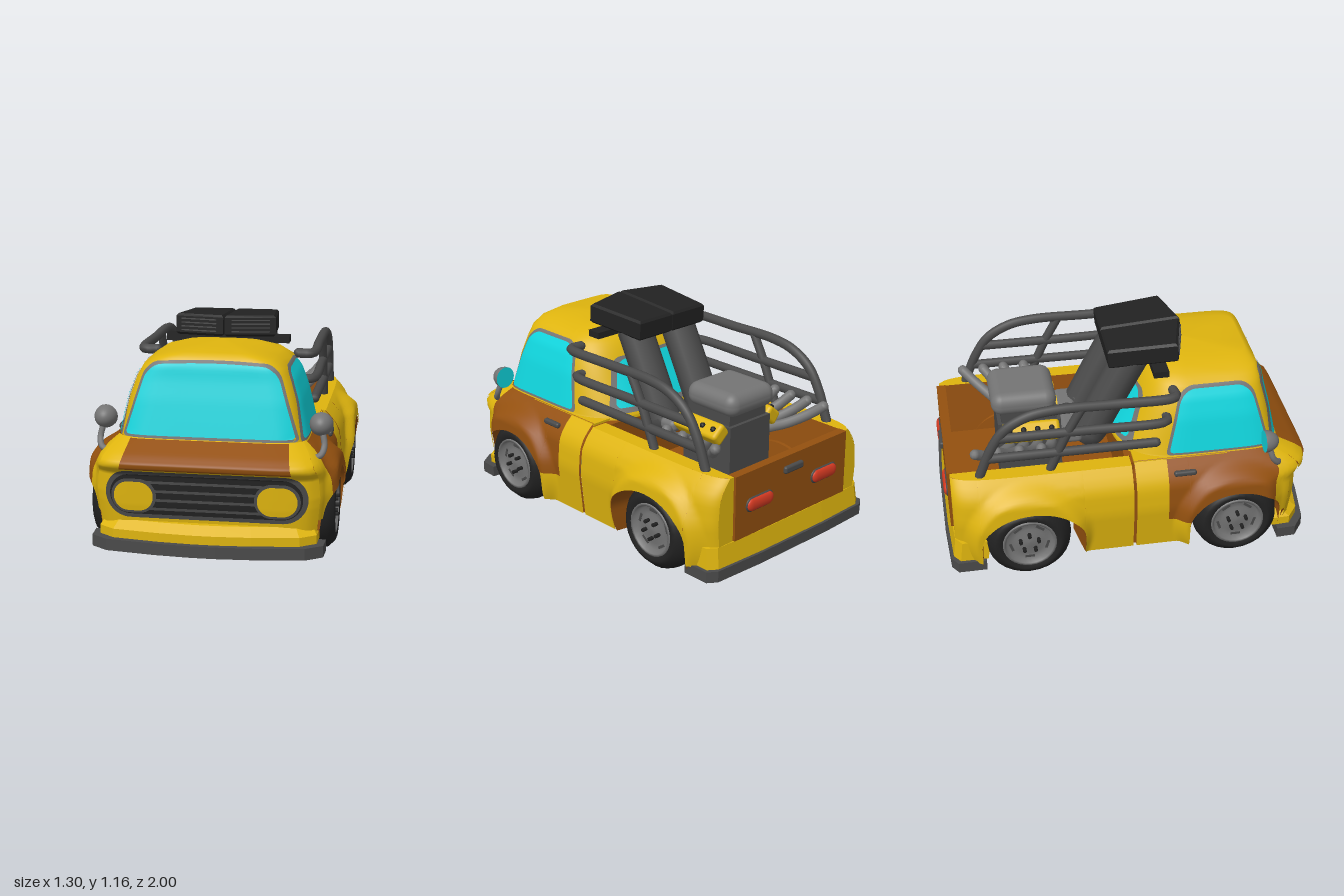
import * as THREE from 'three';
import { RoundedBoxGeometry } from 'three/addons/geometries/RoundedBoxGeometry.js';

const { lerp, smoothstep, clamp } = THREE.MathUtils;
const ZC = 0.35, SIDES = [1, -1];
// wheel centre, arch centre, arch half length
const WHEELS = [[0.55, 0.545, 0.255], [-0.57, -0.545, 0.275]];

// piecewise-linear table lookup: rows are [y, value, value...]
function look(rows, y, k = 1) {
  let i = 0;
  while (i < rows.length - 2 && y > rows[i + 1][0]) i++;
  const a = rows[i], b = rows[i + 1];
  return lerp(a[k], b[k], clamp((y - a[0]) / (b[0] - a[0]), 0, 1));
}
const arc = (t, n) => Math.pow(Math.max(0, 1 - Math.pow(Math.abs(t), n)), 1 / n);

// lower body: half width and nose position by height
const WIDTH = [[0.1, 0.575], [0.35, 0.6], [0.48, 0.588], [0.53, 0.563], [0.57, 0.53], [0.61, 0.487]];
const NOSE = [[0.12, 0.88], [0.3, 0.9], [0.45, 0.905], [0.49, 0.95], [0.515, 0.955], [0.55, 0.91], [0.61, 0.8]];
function bodyX(y, z) {
  const t = z > ZC ? arc((z - ZC) / (look(NOSE, y) - ZC), 8) : arc((ZC - z) / (ZC + 0.98), 12);
  let flare = 0;
  for (const [c] of WHEELS) flare += 0.05 * (1 - smoothstep(Math.hypot(z - c, y - 0.23), 0.27, 0.35));
  return look(WIDTH, y) * t + flare * (1 - smoothstep(z, 0.7, 0.81));
}
const noseZ = (x, y) => ZC + (look(NOSE, y) - ZC) * arc(x / look(WIDTH, y), 8);
const noseSeam = y => look(NOSE, y) - 0.06;

// cabin rings: y, half width, front z, back z
const CAB = [[0.585, 0.49, 0.8, -0.07], [0.605, 0.478, 0.8, -0.07], [0.8, 0.435, 0.76, 0.03], [0.9, 0.4, 0.735, 0.08],
  [0.96, 0.365, 0.725, 0.12], [1.0, 0.305, 0.71, 0.17], [1.03, 0.2, 0.67, 0.25], [1.045, 0.001, 0.351, 0.349]];
const cabZ = (x, y, back) => ZC + (look(CAB, y, back ? 3 : 2) - ZC) * arc(x / look(CAB, y), back ? 3 : 8);
const cabX = (z, y) => look(CAB, y) * (z > ZC
  ? arc((z - ZC) / (look(CAB, y, 2) - ZC), 8) : arc((ZC - z) / (ZC - look(CAB, y, 3)), 3));

// surface from fn(u, v) -> [x, y, z]
function grid(fn, nu, nv, flip) {
  const pos = [], idx = [];
  for (let j = 0; j <= nv; j++) for (let i = 0; i <= nu; i++) pos.push(...fn(i / nu, j / nv));
  for (let j = 0; j < nv; j++) for (let i = 0; i < nu; i++) {
    const a = j * (nu + 1) + i, b = a + 1, c = b + nu + 1, d = c - 1;
    idx.push(...(flip ? [a, c, b, a, d, c] : [a, b, c, a, c, d]));
  }
  const g = new THREE.BufferGeometry().setIndex(idx);
  g.setAttribute('position', new THREE.Float32BufferAttribute(pos, 3));
  g.computeVertexNormals();
  return g;
}
const ease = u => (1 - Math.cos(Math.PI * u)) / 2;
const span = (c, h) => () => [c - h, c + h];

// patch laid on a surface, with bottom and top corner radii; ext(y) gives its span
const patch = (map, y0, y1, ext, rb, rt, flip) => grid((u, v) => {
  const y = lerp(y0, y1, ease(v)), t = Math.min(y - y0, y1 - y), r = v < 0.5 ? rb : rt, [a, b] = ext(y);
  const inset = t < r ? r - Math.sqrt(Math.max(0, r * r - (r - t) ** 2)) : 0;
  return map(lerp(a + inset, b - inset, u), y);
}, 20, 20, flip);

export function createModel() {
  const model = new THREE.Group();
  const mat = (name, color, side = THREE.FrontSide) => Object.assign(new THREE.MeshStandardMaterial({ color, side }), { name });
  const yellow = mat('yellow paint', 0xdeb40e), brown = mat('brown paint', 0x93500f, THREE.DoubleSide);
  const glass = mat('cyan glass', 0x10d6de), dark = mat('dark grey metal', 0x4a4a4a), grey = mat('grey metal', 0x747474);
  const black = mat('black rubber', 0x222222), red = mat('red lens', 0xd63a22);
  const add = (name, geo, m, x = 0, y = 0, z = 0, parent = model) => {
    const mesh = Object.assign(new THREE.Mesh(geo, m), { name });
    mesh.position.set(x, y, z);
    parent.add(mesh);
    return mesh;
  };
  const box = (name, m, w, h, d, x, y, z, r = 0) =>
    add(name, r ? new RoundedBoxGeometry(w, h, d, 4, r) : new THREE.BoxGeometry(w, h, d), m, x, y, z);
  const rod = (name, m, r, len, x, y, z) => add(name, new THREE.CylinderGeometry(r, r, len, 16), m, x, y, z);
  const tube = (name, m, pts, r) => {
    const curve = new THREE.CatmullRomCurve3(pts.map(p => new THREE.Vector3(...p)));
    add(name, new THREE.TubeGeometry(curve, pts.length * 6, r, 10), m);
    for (const p of [pts[0], pts.at(-1)]) add(name + 'End', new THREE.SphereGeometry(r, 10, 6), m, ...p);
  };

  // side panels with wheel arches, each with a brown inner skin
  const panel = (name, m, s, z0, z1, lo, hi) => {
    for (const off of [0, 0.012]) add(off ? name + 'Liner' : name, grid((u, v) => {
      const z = lerp(z0, z1, ease(u)), y = lerp(lo(z), hi, v);
      const zz = z > 0.7 ? 0.7 + (z - 0.7) / 0.14 * (noseSeam(y) - 0.7) : z;
      return [s * (bodyX(y, zz) - off), y, zz];
    }, 24, 14, off ? s < 0 : s > 0), off ? brown : m);
  };
  const flat = y => () => y;
  const arch = ([, c, a], base) => z => Math.max(base, 0.23 + 0.2 * Math.sqrt(Math.max(0, 1 - ((z - c) / a) ** 2)));
  for (const s of SIDES) {
    panel('cabRearPanel', yellow, s, 0.008, 0.18, flat(0.1), 0.6);
    panel('sill', yellow, s, 0.18, 0.29, flat(0.1), 0.27);
    panel('door', brown, s, 0.18, 0.29, flat(0.27), 0.6);
    panel('frontFender', brown, s, 0.29, 0.755, arch(WHEELS[0], 0.23), 0.6);
    panel('frontCorner', yellow, s, 0.755, 0.84, arch(WHEELS[0], 0.19), 0.61);
    panel('bedSide', yellow, s, -0.27, -0.008, flat(0.1), 0.59);
    panel('rearFender', yellow, s, -0.82, -0.27, arch(WHEELS[1], 0.23), 0.59);
    panel('rearCorner', yellow, s, -0.955, -0.82, flat(0.12), 0.59);
    box('bodySeam', brown, 0.06, 0.42, 0.06, s * 0.522, 0.31, 0);
    // wheel wells, narrowing inward
    for (const [, c, len] of WHEELS) add('wheelWell', grid((u, v) => {
      const a = Math.PI * clamp((u - 0.1) / 0.8, 0, 1), k = lerp(1, 0.87, v);
      const z = c + len * k * Math.cos(a), y = 0.23 + 0.2 * k * Math.sin(a) - Math.max(0, 0.1 - u, u - 0.9) * 1.3;
      return [s * lerp(bodyX(y, z) - 0.005, 0.37, v), y, z];
    }, 40, 2), brown);
    // bed rim and sloping inner wall
    add('bedRim', grid((u, v) => {
      const z = lerp(-0.955, -0.008, u);
      return [s * lerp(0.42, bodyX(0.59, z), v), 0.59, z];
    }, 30, 1, s < 0), yellow);
    add('bedWall', grid((u, v) => [s * lerp(0.37, 0.42, v), lerp(0.3, 0.59, v), lerp(-0.955, 0, u)], 1, 1, s < 0), brown);
  }
  box('floor', brown, 0.76, 0.02, 1.8, 0, 0.29, -0.05);
  box('bedFrontWall', brown, 0.94, 0.3, 0.04, 0, 0.43, -0.01);
  box('cabShelf', yellow, 0.985, 0.012, 0.5, 0, 0.592, 0.258);

  // nose, hood and tail
  for (const [name, m, off] of [['nose', yellow, 0], ['noseLiner', brown, 0.015]]) add(name, grid((u, v) => {
    const y = lerp(0.12, 0.61, v), x = (2 * u - 1) * bodyX(y, noseSeam(y));
    return [x, y, noseZ(x, y) - off];
  }, 40, 49), m);
  const onNose = off => (x, y) => [x, y, noseZ(x, y) + off];
  add('hood', patch(onNose(0.008), 0.482, 0.608, y => span(0, lerp(0.43, 0.4, (y - 0.48) / 0.13))(), 0.001, 0.001), brown);
  for (const [name, m, z] of [['tailPanel', yellow, -0.955], ['tailLiner', brown, -0.945]]) add(name, grid((u, v) => {
    const y = lerp(0.12, 0.59, v);
    return [(2 * u - 1) * bodyX(y, -0.955), y, z];
  }, 2, 12, true), m);
  box('tailgate', brown, 0.84, 0.35, 0.05, 0, 0.418, -0.944);
  box('tailgateHandle', dark, 0.14, 0.04, 0.03, 0, 0.52, -0.972, 0.012);

  // grille, headlights and tail lights
  add('grilleFrame', patch(onNose(0.01), 0.225, 0.475, span(0, 0.51), 0.125, 0.125), dark);
  add('grille', patch(onNose(0.016), 0.247, 0.453, span(0, 0.485), 0.103, 0.103), black);
  for (const y of [0.272, 0.318, 0.364, 0.41]) add('grilleBar', patch(onNose(0.024), y, y + 0.014, span(0, 0.36), 0.002, 0.002), dark);
  for (const s of SIDES) {
    add('headlightRing', patch(onNose(0.028), 0.256, 0.434, span(s * 0.36, 0.115), 0.088, 0.088), dark);
    add('headlight', patch(onNose(0.035), 0.27, 0.42, span(s * 0.36, 0.1), 0.074, 0.074), yellow);
    for (const [name, m, r, z] of [['tailLightFrame', dark, 0.042, -0.965], ['tailLight', red, 0.034, -0.975]]) {
      const lens = add(name, new THREE.CapsuleGeometry(r, 0.12, 6, 16), m, s * 0.245, 0.41, z);
      lens.rotation.z = Math.PI / 2;
      lens.scale.z = 0.45;
    }
  }

  // cabin shell
  const sp = (c, n) => Math.sign(c) * Math.pow(Math.abs(c), 2 / n);
  add('cabin', grid((u, v) => {
    const k = v * (CAB.length - 1), i = Math.min(CAB.length - 2, Math.floor(k)), s = Math.sin(2 * Math.PI * u), n = s > 0 ? 8 : 3;
    const [y, hw, zf, zb] = CAB[i].map((p, c) => lerp(p, CAB[i + 1][c], k - i));
    return [hw * sp(Math.cos(2 * Math.PI * u), n), y, ZC + (s > 0 ? zf - ZC : ZC - zb) * sp(s, n)];
  }, 96, 14, true), yellow);

  // windows: grey frame below, glass above
  for (const [part, m, e, off] of [['Frame', grey, 0.014, 0.005], ['Glass', glass, 0, 0.01]]) {
    const taper = (y0, y1, a, b, w) => y => span(0, lerp(a, b, (y - y0) / (y1 - y0)) + w)();
    add('windshield' + part, patch((x, y) => {
      const yy = y + 0.07 * (y - 0.63) * (1 - (x / 0.4) ** 2);
      return [x, yy, cabZ(x, yy) + off];
    }, 0.625 - e, 0.962 + e, taper(0.625, 0.962, 0.432, 0.325, e), 0.02, 0.07), m);
    add('rearWindow' + part, patch((x, y) => [x, y, cabZ(x, y, true) - off], 0.645 - 2 * e, 0.88 + e,
      taper(0.64, 0.88, 0.34, 0.25, 2 * e), 0.03, 0.05, true), m);
    for (const s of SIDES) add('sideWindow' + part, patch((z, y) => [s * (cabX(z, y) + off), y, z], 0.62 - e, 0.95 + e, y => {
      const t = (y - 0.622) / 0.33;
      return [lerp(0.2, 0.28, t) - e, lerp(0.73, 0.64, t) + e];
    }, 0.02, 0.07, s > 0), m);
  }

  // bumpers: dark slab with a tapered painted lip
  const front = [[0.59, 0.79], [0.585, 0.89], [0.5, 0.95], [0.25, 0.985], [0.06, 0.998]];
  const rear = [[0.6, -0.8], [0.6, -0.95], [0.55, -0.985], [0.25, -0.998]];
  for (const [name, m, pts, k, y0, y1, top] of [['frontBumper', dark, front, 1, 0.06, 0.12, 1], ['frontLip', yellow, front, 0.94, 0.12, 0.165, 1],
    ['frontLipTop', yellow, front, 0.94, 0.165, 0.205, 0.95], ['rearBumper', dark, rear, 1, 0.07, 0.13, 1], ['rearLip', yellow, rear, 0.97, 0.13, 0.24, 0.985]]) {
    const shape = new THREE.Shape([...pts, ...pts.map(([x, z]) => [-x, z]).reverse()].map(([x, z]) => new THREE.Vector2(x * k, -z * (k + 1) / 2)));
    const g = new THREE.ExtrudeGeometry(shape, { depth: y1 - y0, bevelEnabled: false }).rotateX(-Math.PI / 2), p = g.attributes.position;
    for (let i = 0; i < p.count; i++) if (p.getY(i) > 0.01) p.setXYZ(i, p.getX(i) * top, p.getY(i), p.getZ(i) * top);
    g.computeVertexNormals();
    add(name, g, m, 0, y0, 0);
  }

  // wheels, axles and chassis
  const lathe = pts => new THREE.LatheGeometry(pts.map(p => new THREE.Vector2(...p)), 28);
  const tire = lathe([[0, -0.08], [0.13, -0.1], [0.185, -0.12], [0.215, -0.105], [0.23, -0.06], [0.23, 0.03],
    [0.218, 0.075], [0.185, 0.11], [0.165, 0.118], [0.142, 0.108]]);
  const rim = lathe([[0.145, 0.1], [0.143, 0.114], [0.13, 0.114], [0.12, 0.085], [0.08, 0.09], [0.05, 0.092], [0.03, 0.098], [0, 0.1]]);
  for (const [z] of WHEELS) {
    for (const s of SIDES) {
      const wheel = Object.assign(new THREE.Group(), { name: 'wheel' });
      add('tire', tire, black, 0, 0, 0, wheel);
      add('rim', rim, grey, 0, 0, 0, wheel);
      for (let i = 0; i < 5; i++) {
        const a = i * Math.PI * 0.4, b = a + Math.PI / 5;
        add('lugNut', new THREE.CylinderGeometry(0.01, 0.01, 0.035, 6), black, 0.05 * Math.cos(a), 0.105, 0.05 * Math.sin(a), wheel);
        add('rimSlot', new THREE.BoxGeometry(0.014, 0.012, 0.05), dark, 0.1 * Math.cos(b), 0.084, 0.1 * Math.sin(b), wheel).rotation.y = -b;
      }
      wheel.rotation.z = -s * Math.PI / 2;
      wheel.position.set(s * 0.51, 0.23, z);
      model.add(wheel);
    }
    rod('axle', dark, 0.03, 0.86, 0, 0.22, z).rotation.z = Math.PI / 2;
  }
  add('differential', new THREE.SphereGeometry(0.09, 16, 10), dark, 0, 0.21, -0.57);
  rod('driveShaft', dark, 0.035, 1.05, 0, 0.2, -0.02).rotation.x = Math.PI / 2;
  box('skidPlate', dark, 0.44, 0.03, 0.42, 0, 0.1, 0.5);

  // mirrors, handles, bed rails, roof intakes and engine sides
  for (const s of SIDES) {
    box('frameRail', dark, 0.07, 0.08, 1.5, s * 0.22, 0.12, -0.02);
    const shell = add('mirrorShell', new THREE.SphereGeometry(0.06, 20, 10, 0, Math.PI * 2, 0, Math.PI / 2), grey, s * 0.55, 0.69, 0.69);
    shell.rotation.x = Math.PI / 2;
    shell.scale.y = 1.3;
    add('mirrorGlass', new THREE.CircleGeometry(0.06, 20), glass, s * 0.55, 0.69, 0.69).rotation.y = Math.PI;
    tube('mirrorArm', grey, [[s * 0.56, 0.65, 0.72], [s * 0.57, 0.59, 0.74], [s * 0.555, 0.55, 0.77], [s * 0.51, 0.535, 0.79]], 0.016);
    box('doorHandle', dark, 0.03, 0.03, 0.12, s * 0.56, 0.545, 0.27, 0.012);
    const x = s * 0.46, i = s * 0.38;
    tube('topRail', dark, [[i, 0.955, 0.23], [s * 0.44, 0.955, 0.235], [x, 0.955, 0.2], [x, 0.955, -0.1], [x, 0.955, -0.4],
      [x, 0.93, -0.54], [x, 0.86, -0.66], [x, 0.75, -0.735], [x, 0.59, -0.8]], 0.026);
    tube('middleRail', dark, [[i, 0.81, 0.19], [s * 0.44, 0.81, 0.195], [x, 0.81, 0.16], [x, 0.81, -0.25], [x, 0.81, -0.69]], 0.025);
    tube('lowerRail', dark, [[x, 0.69, 0.13], [x, 0.69, -0.76]], 0.025);
    tube('railBrace', dark, [[x, 0.95, -0.26], [x, 0.8, -0.34], [x, 0.59, -0.43]], 0.024);

    const plan = [[0.014, -0.2], [0.225, -0.2], [0.253, 0.145], [0.014, 0.205]].map(([px, pz]) => new THREE.Vector2(s * px, pz));
    const body = new THREE.ExtrudeGeometry(new THREE.Shape(plan), { depth: 0.086, bevelSize: 0.012, bevelThickness: 0.012, bevelSegments: 1 });
    const scoop = add('intakeScoop', body.rotateX(Math.PI / 2).translate(0, 0.043, 0), black, 0, 1.092, 0.125);
    for (let k = 0; k < 4; k++)
      add('scoopLouvre', new THREE.BoxGeometry(0.2, 0.006, 0.008), dark, s * 0.137, -0.03 + k * 0.02, 0.188, scoop).rotation.y = s * 0.25;
    scoop.rotation.x = -0.07;
    tube('intakePipe', dark, [[s * 0.15, 1.04, 0.05], [s * 0.15, 0.82, -0.065], [s * 0.15, 0.6, -0.175]], 0.095);

    box('valveCover', yellow, 0.1, 0.08, 0.31, s * 0.195, 0.65, -0.5, 0.02).rotation.z = -s * 0.7;
    rod('blowerIntake', yellow, 0.05, 0.03, s * 0.07, 0.725, -0.357).rotation.x = Math.PI / 2;
    for (let k = 0; k < 4; k++) {
      const z = -0.39 - k * 0.075, end = -0.47 - k * 0.115;
      add('coverBolt', new THREE.SphereGeometry(0.016, 10, 6), black, s * 0.22, 0.68, z);
      tube('exhaustPipe', grey, [[s * 0.2, 0.57, z], [s * 0.28, 0.59, lerp(z, end, 0.3)], [s * 0.36, 0.64, lerp(z, end, 0.7)], [s * 0.41, 0.69, end]], 0.028);
    }
  }

  // engine centre
  for (const part of [['intakeBase', black, 0.66, 0.035, 0.08, 0, 1.02, 0.18], ['plenum', grey, 0.46, 0.07, 0.11, 0, 0.6, -0.275, 0.03],
    ['engineBlock', dark, 0.3, 0.4, 0.34, 0, 0.48, -0.5], ['blowerBase', dark, 0.27, 0.12, 0.3, 0, 0.7, -0.5],
    ['blower', grey, 0.34, 0.13, 0.35, 0, 0.795, -0.525, 0.06]]) box(...part);
  rod('plenumCap', dark, 0.03, 0.03, 0, 0.645, -0.28);
  return model;
}
